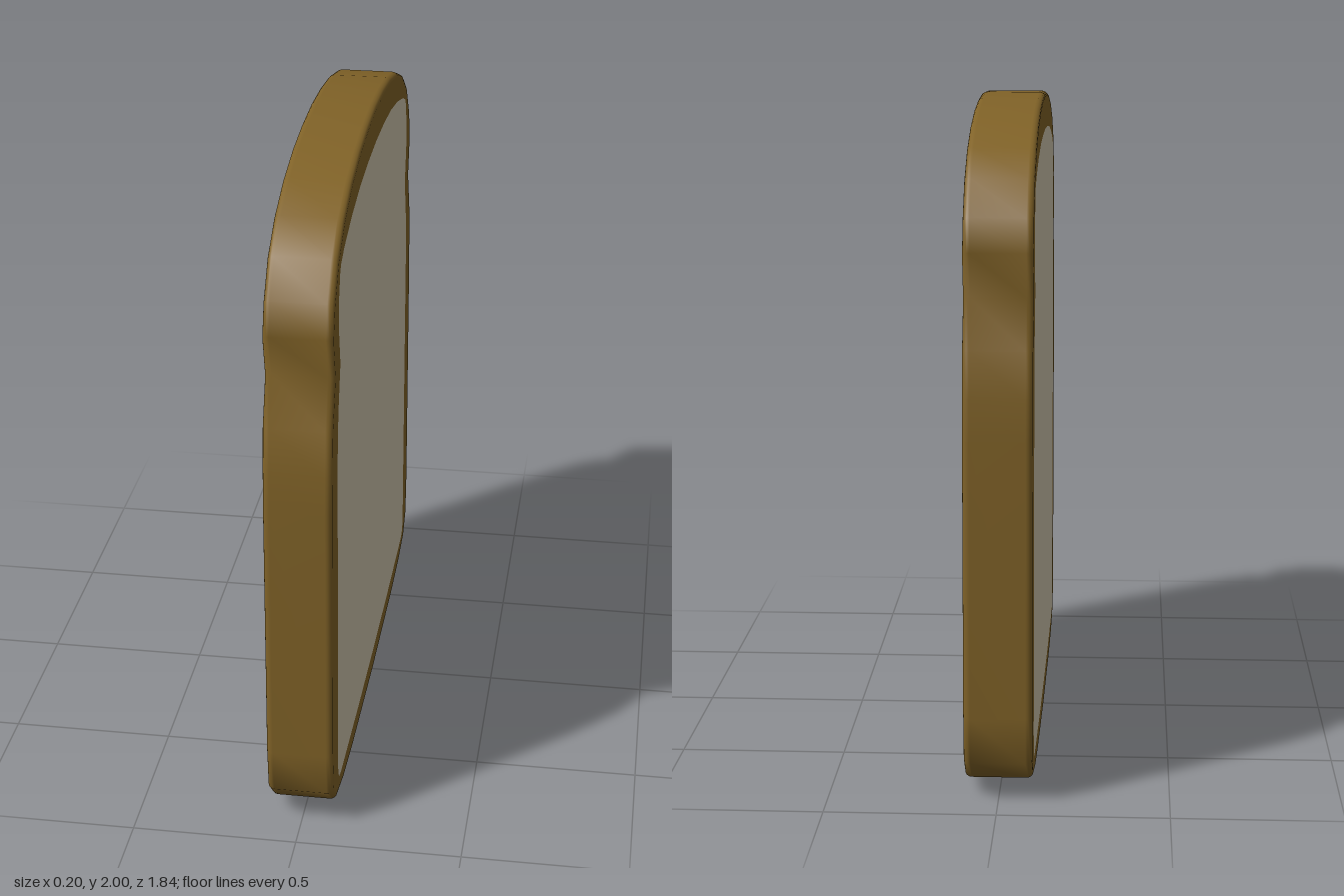
import * as THREE from 'three';

// Half outlines from top centre to bottom centre: [half width, height]
const CRUST = [[0, 2], [0.18, 1.993], [0.35, 1.975], [0.52, 1.94], [0.67, 1.885], [0.785, 1.81],
  [0.86, 1.705], [0.888, 1.61], [0.853, 1.48], [0.905, 1.335], [0.917, 1.2], [0.922, 1.08], [0.922, 0.26],
  [0.906, 0.12], [0.84, 0.055], [0.69, 0.025], [0.5, 0.011], [0, 0]];
const CRUMB = [[0, 1.885], [0.18, 1.88], [0.35, 1.867], [0.52, 1.84], [0.67, 1.803], [0.735, 1.777],
  [0.752, 1.755], [0.779, 1.67], [0.78, 1.61], [0.749, 1.48], [0.79, 1.34], [0.805, 1.2], [0.805, 0.2],
  [0.8, 0.125], [0.782, 0.1], [0.745, 0.091], [0.35, 0.08], [0, 0.077]];
const HALF = 0.1;     // half thickness of the slice
const ROUND = 0.02;   // depth of the rounded rim
const INSET = 0.014;  // how far the rim draws in

// Mirror a half outline into a closed counter-clockwise loop, drawn in by d
function loop(half, d = 0) {
  const left = half.map(([w, y]) => [-w, y]);
  const right = half.slice(1, -1).reverse();
  return [...left, ...right].map(([u, y]) =>
    new THREE.Vector2(u * (1 - d / 0.92), 1 + (y - 1) * (1 - d)));
}

// Smooth outer band with a rounded rim on both sides
function bandGeometry() {
  const rim = [0, 1, 2, 3, 4].map(i => {
    const a = (i / 4) * Math.PI / 2;
    return [HALF - ROUND + ROUND * Math.sin(a), INSET * (1 - Math.cos(a))];
  });
  const rings = [...rim.map(([z, d]) => [-z, d]).reverse(), ...rim];
  const positions = [], index = [];
  let n = 0;
  rings.forEach(([z, d], k) => {
    const pts = loop(CRUST, d);
    n = pts.length;
    pts.forEach((p, i) => {
      positions.push(p.x, p.y, z);
      if (k === rings.length - 1) return;
      const a = k * n + i, b = k * n + (i + 1) % n;
      index.push(a, b, b + n, a, b + n, a + n);
    });
  });
  const g = new THREE.BufferGeometry();
  g.setAttribute('position', new THREE.Float32BufferAttribute(positions, 3));
  g.setIndex(index);
  g.computeVertexNormals();
  return g;
}

export function createModel() {
  const crustBrown = new THREE.MeshStandardMaterial({ color: 0x806227 });
  crustBrown.name = 'crustBrown';
  const crumbCream = new THREE.MeshStandardMaterial({ color: 0xd0c6ad });
  crumbCream.name = 'crumbCream';

  const slice = new THREE.Group();
  slice.name = 'breadSlice';
  const add = (name, geometry, material) => {
    const mesh = new THREE.Mesh(geometry, material);
    mesh.name = name;
    slice.add(mesh);
  };

  // Crust around the edge
  add('crustBand', bandGeometry().rotateY(Math.PI / 2), crustBrown);

  // Flat crust border and crumb, one set on each face
  const border = new THREE.Shape(loop(CRUST, INSET));
  border.holes.push(new THREE.Path(loop(CRUMB)));
  const crumb = new THREE.Shape(loop(CRUMB));
  for (const [side, turn] of [['left', Math.PI / 2], ['right', -Math.PI / 2]]) {
    const face = shape => new THREE.ShapeGeometry(shape).translate(0, 0, HALF).rotateY(turn);
    add(side + 'CrustBorder', face(border), crustBrown);
    add(side + 'Crumb', face(crumb), crumbCream);
  }
  return slice;
}
